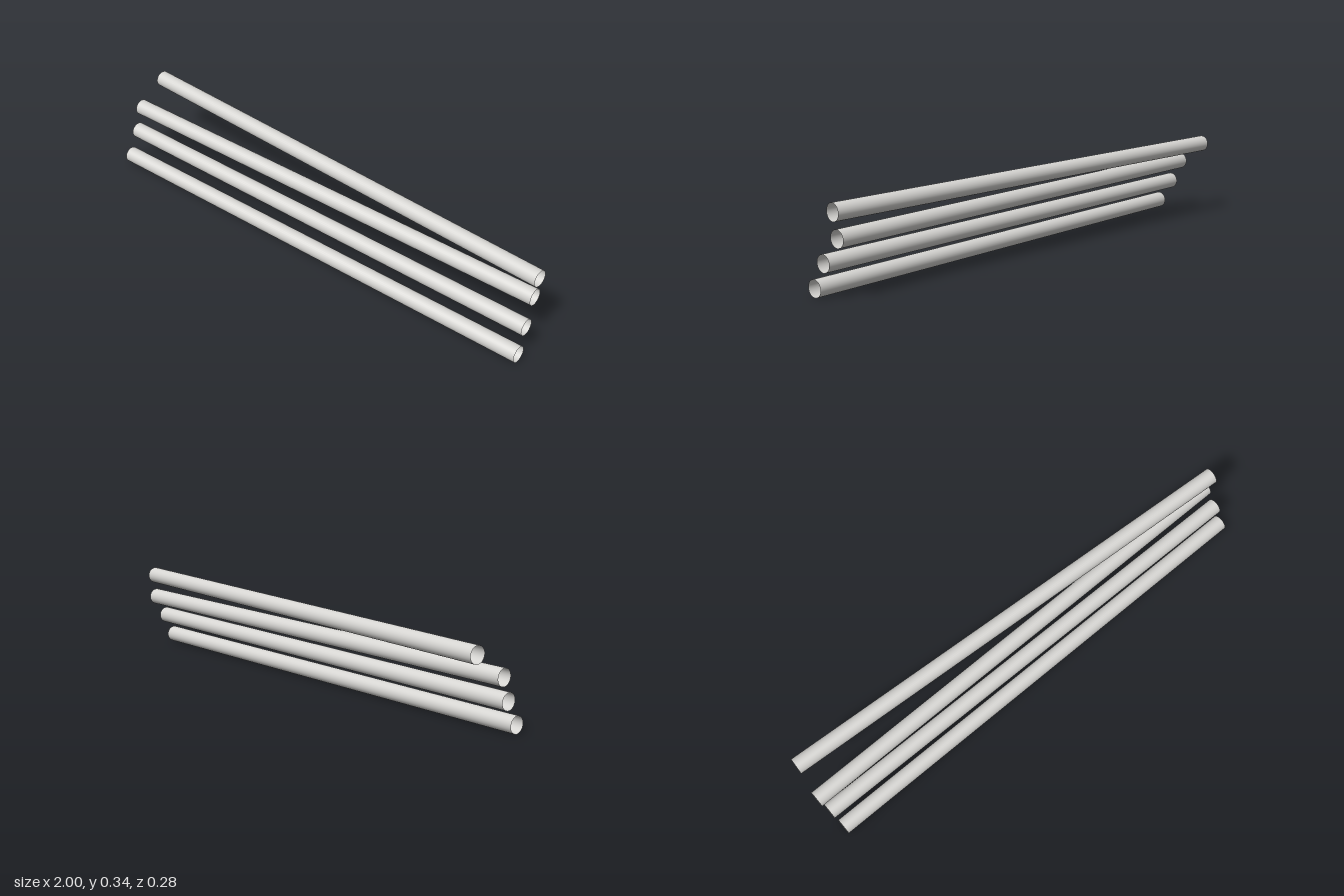
import * as THREE from 'three';

const RADIUS = 0.0325;

// Axis of each pipe: height, then x and z of its right (-x) and left (+x) ends
const PIPES = [
  { y: 0.0325, from: [-0.975, 0.109], to: [0.996, 0.008] },
  { y: 0.1262, from: [-0.985, 0.053], to: [0.988, -0.035] },
  { y: 0.2187, from: [-0.998, 0.013], to: [0.972, -0.094] },
  { y: 0.3112, from: [-0.989, -0.108], to: [0.984, -0.09] },
];

export function createModel() {
  const model = new THREE.Group();
  model.name = 'pipeStack';
  const paleGrey = new THREE.MeshStandardMaterial({ color: 0xd6d5d2, side: THREE.DoubleSide });
  paleGrey.name = 'paleGrey';

  // Hollow open-ended pipes, each turned slightly about the vertical
  PIPES.forEach(({ y, from, to }, i) => {
    const a = new THREE.Vector3(from[0], y, from[1]);
    const b = new THREE.Vector3(to[0], y, to[1]);
    const geometry = new THREE.CylinderGeometry(RADIUS, RADIUS, a.distanceTo(b), 32, 1, true);
    geometry.rotateZ(-Math.PI / 2);
    const pipe = new THREE.Mesh(geometry, paleGrey);
    pipe.name = `pipe${i + 1}`;
    pipe.position.copy(a).lerp(b, 0.5);
    pipe.rotation.y = Math.atan2(a.z - b.z, b.x - a.x);
    model.add(pipe);
  });

  return model;
}
